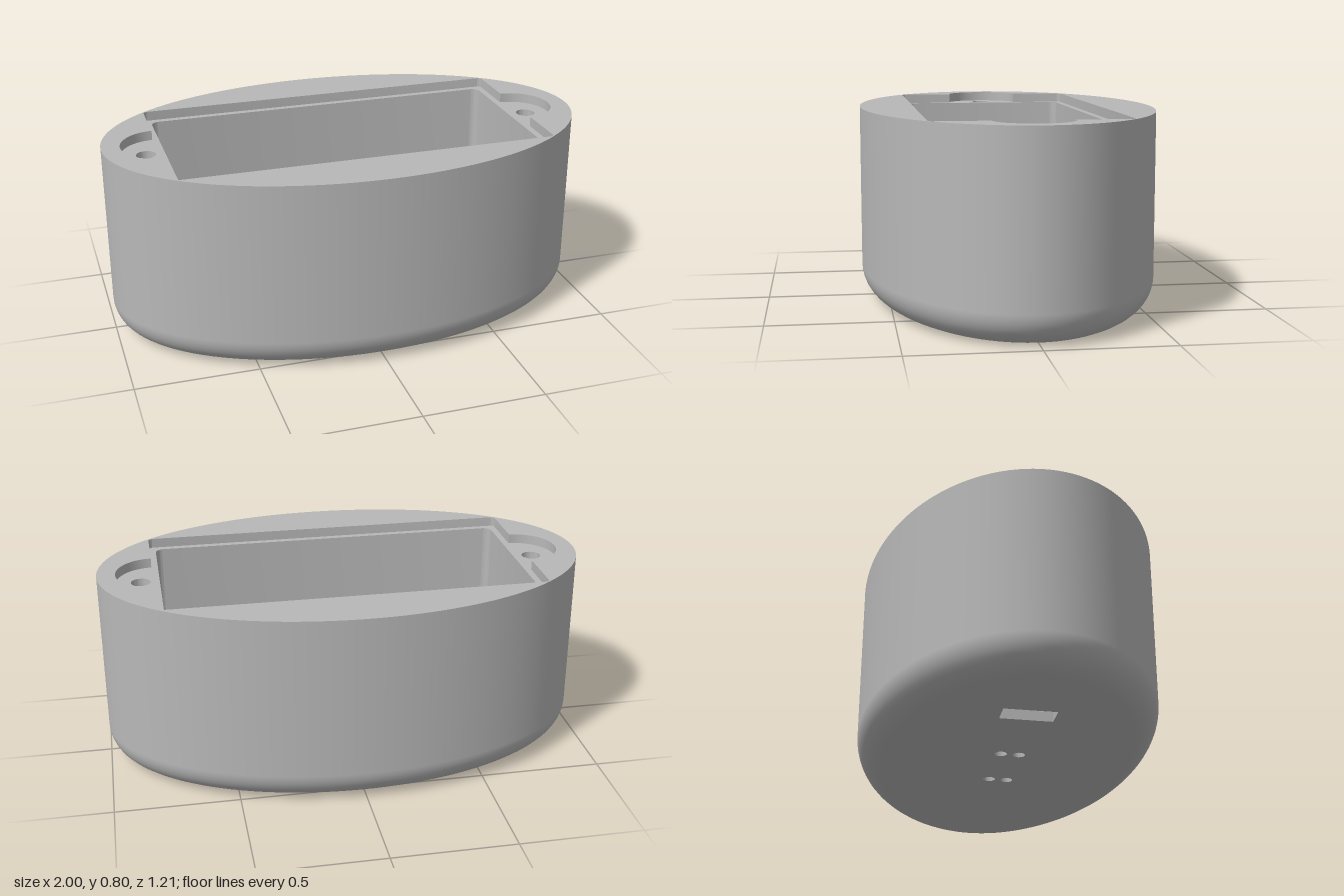
import * as THREE from 'three';
import { toCreasedNormals } from 'three/addons/utils/BufferGeometryUtils.js';

const A = 1, B = 0.607, H = 0.8;          // half length, half depth, height
const FILLET = 0.13, FLOOR = 0.04, LEDGE = 0.76;
const SEG = 128, CURVE = 16;

const shellGray = new THREE.MeshStandardMaterial({ color: 0xb8b8b8 });
shellGray.name = 'shellGray';

// Point and outward normal of the oval at angle t
function oval(t, inset = 0) {
  const n = new THREE.Vector2(Math.cos(t) / A, Math.sin(t) / B).normalize();
  return { p: new THREE.Vector2(A * Math.cos(t) - inset * n.x, B * Math.sin(t) - inset * n.y), n };
}

function ovalShape(inset) {
  const pts = [];
  for (let i = 0; i < SEG; i++) pts.push(oval((i / SEG) * Math.PI * 2, inset).p);
  return new THREE.Shape(pts);
}

function circle(x, y, r) {
  return new THREE.Shape().absarc(x, y, r, 0, Math.PI * 2, false);
}

function roundedRect(cx, cy, w, d, r) {
  const s = new THREE.Shape(), x = w / 2 - r, y = d / 2 - r;
  s.absarc(cx + x, cy + y, r, 0, Math.PI / 2, false);
  s.absarc(cx - x, cy + y, r, Math.PI / 2, Math.PI, false);
  s.absarc(cx - x, cy - y, r, Math.PI, Math.PI * 1.5, false);
  s.absarc(cx + x, cy - y, r, Math.PI * 1.5, Math.PI * 2, false);
  s.closePath();
  return s;
}

// Lid recess: rectangle with a round screw ear at each end
function recessShape() {
  const s = new THREE.Shape(), x = 0.775, z = 0.385, c = 0.02, e = 0.155;
  s.moveTo(x, -e);
  s.absellipse(x, 0, 0.15, e, -Math.PI / 2, Math.PI / 2, false);
  s.absarc(x - c, z - c, c, 0, Math.PI / 2, false);
  s.absarc(-x + c, z - c, c, Math.PI / 2, Math.PI, false);
  s.lineTo(-x, e);
  s.absellipse(-x, 0, 0.15, e, Math.PI / 2, Math.PI * 1.5, false);
  s.absarc(-x + c, -z + c, c, Math.PI, Math.PI * 1.5, false);
  s.absarc(x - c, -z + c, c, Math.PI * 1.5, Math.PI * 2, false);
  s.closePath();
  return s;
}

// Horizontal face with openings, facing up or down
function plate(shape, holes, y, up = true) {
  const s = shape.clone();
  s.holes = holes;
  const g = new THREE.ShapeGeometry(s, CURVE);
  g.rotateX(up ? -Math.PI / 2 : Math.PI / 2);
  return g.translate(0, y, 0);
}

// Vertical wall along an outline, facing inward
function innerWall(shape, y0, y1) {
  const pts = shape.getPoints(CURVE), pos = [];
  if (THREE.ShapeUtils.isClockWise(pts)) pts.reverse();
  pts.forEach((p, i) => {
    const q = pts[(i + 1) % pts.length];
    if (p.distanceTo(q) < 1e-5) return;
    pos.push(p.x, y0, -p.y, p.x, y1, -p.y, q.x, y1, -q.y);
    pos.push(p.x, y0, -p.y, q.x, y1, -q.y, q.x, y0, -q.y);
  });
  const g = new THREE.BufferGeometry();
  g.setAttribute('position', new THREE.Float32BufferAttribute(pos, 3));
  return toCreasedNormals(g, 0.6);
}

// Oval side with a rounded lower edge
function outerShell() {
  const rings = [];
  for (let k = 0; k <= 10; k++) {
    const a = (1 - k / 10) * Math.PI / 2;
    rings.push({ y: FILLET * (1 - Math.sin(a)), inset: FILLET * (1 - Math.cos(a)), a });
  }
  rings.push({ y: H, inset: 0, a: 0 });
  const pos = [], nor = [], idx = [], row = SEG + 1;
  rings.forEach((r, k) => {
    for (let i = 0; i <= SEG; i++) {
      const { p, n } = oval((i / SEG) * Math.PI * 2, r.inset);
      pos.push(p.x, r.y, -p.y);
      nor.push(n.x * Math.cos(r.a), -Math.sin(r.a), -n.y * Math.cos(r.a));
      if (k && i) {
        const d = k * row + i, c = d - 1, b = d - row, a = b - 1;
        idx.push(a, b, d, a, d, c);
      }
    }
  });
  const g = new THREE.BufferGeometry();
  g.setAttribute('position', new THREE.Float32BufferAttribute(pos, 3));
  g.setAttribute('normal', new THREE.Float32BufferAttribute(nor, 3));
  g.setIndex(idx);
  return g;
}

// Screw post with a flared foot and a blind hole
function post(r, h, hole) {
  const f = 0.03, pts = [];
  for (let i = 0; i <= 6; i++) {
    const t = (i / 6) * Math.PI / 2;
    pts.push(new THREE.Vector2(r + f - f * Math.sin(t), f - f * Math.cos(t)));
  }
  [[r, h], [hole, h], [hole, 0.02], [0, 0.02]].forEach(([x, y]) => pts.push(new THREE.Vector2(x, y)));
  return toCreasedNormals(new THREE.LatheGeometry(pts, 40), 0.6);
}

export function createModel() {
  const model = new THREE.Group();
  model.name = 'ovalEnclosure';
  const add = (name, geometry, x = 0, y = 0, z = 0) => {
    const m = new THREE.Mesh(geometry, shellGray);
    m.name = name;
    m.position.set(x, y, z);
    model.add(m);
  };

  const recess = recessShape();
  const cavity = roundedRect(0, 0, 1.496, 0.716, 0.035);
  const screwHoles = [-0.825, 0.825].map(x => circle(x, 0, 0.04));
  const slot = new THREE.Shape([[-0.6, -0.104], [-0.507, -0.104], [-0.507, 0.104], [-0.6, 0.104]]
    .map(p => new THREE.Vector2(...p)));
  const floorHoles = [slot];
  for (const x of [-0.148, 0.146]) for (const z of [-0.037, 0.037]) floorHoles.push(circle(x, z, 0.025));

  // Outside
  add('outerShell', outerShell());
  add('topRim', plate(ovalShape(0), [recess], H));
  add('underside', plate(ovalShape(FILLET), floorHoles, 0, false));

  // Lid recess and screw ears
  add('recessWall', innerWall(recess, LEDGE, H));
  add('lidLedge', plate(recess, [cavity, ...screwHoles], LEDGE));
  screwHoles.forEach(h => {
    add('screwHoleWall', innerWall(h, 0.45, LEDGE));
    add('screwHoleBottom', plate(h, [], 0.45));
  });

  // Cavity and floor openings
  add('cavityWall', innerWall(cavity, FLOOR, LEDGE));
  add('cavityFloor', plate(cavity, floorHoles, FLOOR));
  floorHoles.forEach(h => add('floorOpeningWall', innerWall(h, 0, FLOOR)));

  // Side ribs and screw posts
  for (const s of [-1, 1]) {
    add('sideRib', new THREE.BoxGeometry(0.72, 0.4, 0.045), 0, FLOOR + 0.2, s * 0.3365);
    add('smallPost', post(0.073, 0.15, 0.028), -0.552, FLOOR, s * 0.217);
    for (const x of [-0.295, 0.293]) add('largePost', post(0.1, 0.2, 0.028), x, FLOOR, s * 0.185);
  }
  return model;
}
